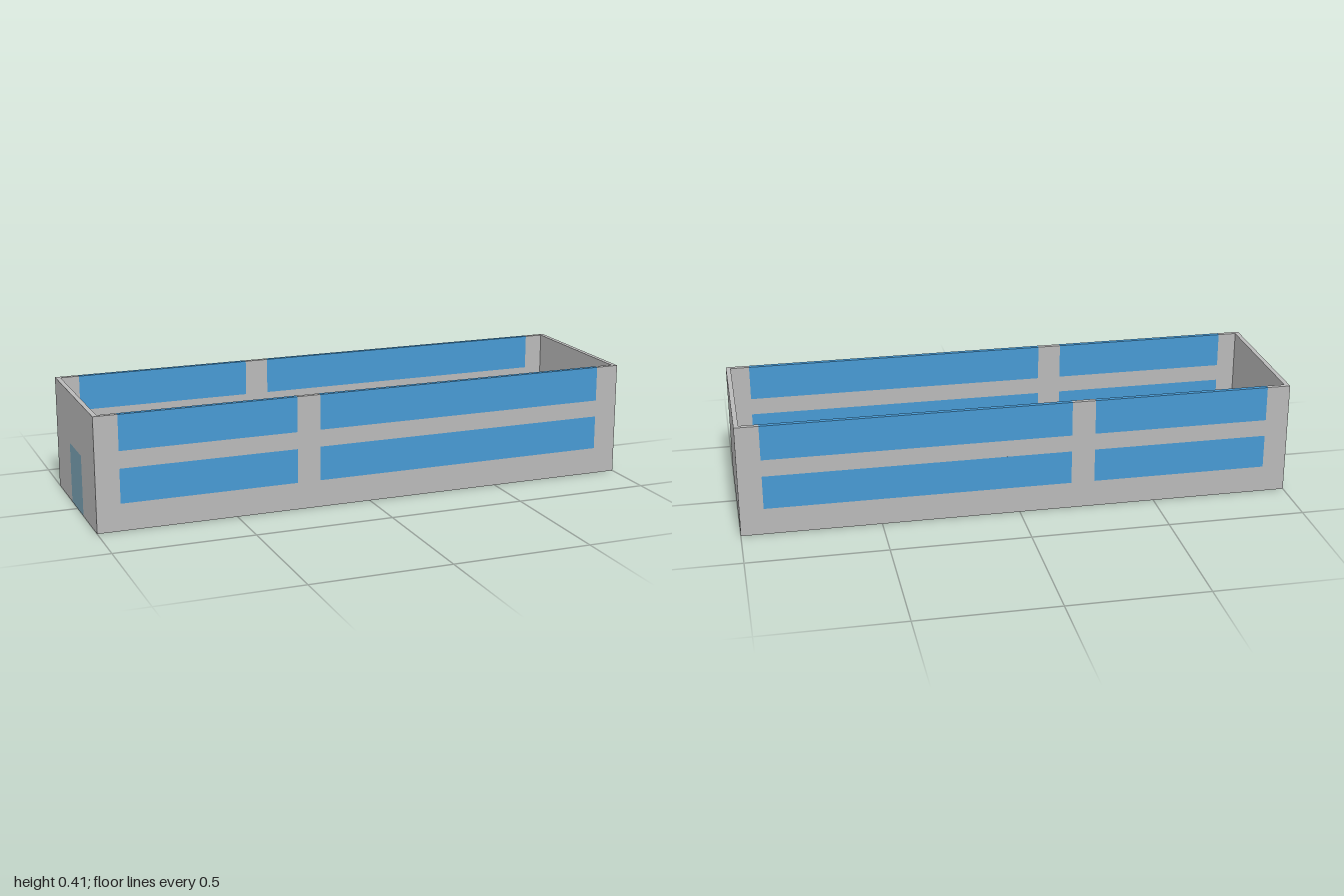
import * as THREE from 'three';

const wallGrey = new THREE.MeshStandardMaterial({ color: 0xb9b9b9 });
wallGrey.name = 'wall grey';
const glassBlue = new THREE.MeshStandardMaterial({ color: 0x4799d3 });
glassBlue.name = 'glass blue';
const doorBlue = new THREE.MeshStandardMaterial({ color: 0x7aa2b4 });
doorBlue.name = 'door blue grey';

const H = 0.412, X = 1, Z = 0.294, T = 0.017;

// Box given by its limits on each axis
function block(parent, name, material, [x0, x1], [y0, y1], [z0, z1]) {
  const geometry = new THREE.BoxGeometry(x1 - x0, y1 - y0, z1 - z0);
  geometry.translate((x0 + x1) / 2, (y0 + y1) / 2, (z0 + z1) / 2);
  const mesh = new THREE.Mesh(geometry, material);
  mesh.name = name;
  parent.add(mesh);
}

// Long wall: solid posts, with bands and full-depth glazing between them
function longWall(name, z) {
  const wall = new THREE.Group();
  wall.name = name;
  const posts = [[-X, -0.915], [-0.275, -0.19], [0.915, X]];
  posts.forEach((x) => block(wall, 'post', wallGrey, x, [0, H], z));
  for (let i = 0; i < 2; i++) {
    const bay = [posts[i][1], posts[i + 1][0]];
    block(wall, 'baseBand', wallGrey, bay, [0, 0.098], z);
    block(wall, 'lowerWindow', glassBlue, bay, [0.098, 0.222], z);
    block(wall, 'middleBand', wallGrey, bay, [0.222, 0.284], z);
    block(wall, 'upperWindow', glassBlue, bay, [0.284, H], z);
  }
  return wall;
}

export function createModel() {
  const model = new THREE.Group();
  model.name = 'openBuilding';
  const inner = Z - T;

  model.add(longWall('frontWall', [inner, Z]), longWall('backWall', [-Z, -inner]));

  // Floor slab and plain end wall
  block(model, 'floor', wallGrey, [-X + T, X - T], [0, 0.017], [-inner, inner]);
  block(model, 'leftWall', wallGrey, [X - T, X], [0, H], [-inner, inner]);

  // End wall with a doorway, the door filling its full depth
  const end = [-X, -X + T], door = [-0.085, 0.09], doorTop = 0.22;
  const rightWall = new THREE.Group();
  rightWall.name = 'rightWall';
  block(rightWall, 'doorSideBack', wallGrey, end, [0, H], [-inner, door[0]]);
  block(rightWall, 'doorSideFront', wallGrey, end, [0, H], [door[1], inner]);
  block(rightWall, 'doorLintel', wallGrey, end, [doorTop, H], door);
  block(rightWall, 'door', doorBlue, end, [0, doorTop], door);
  model.add(rightWall);

  return model;
}
